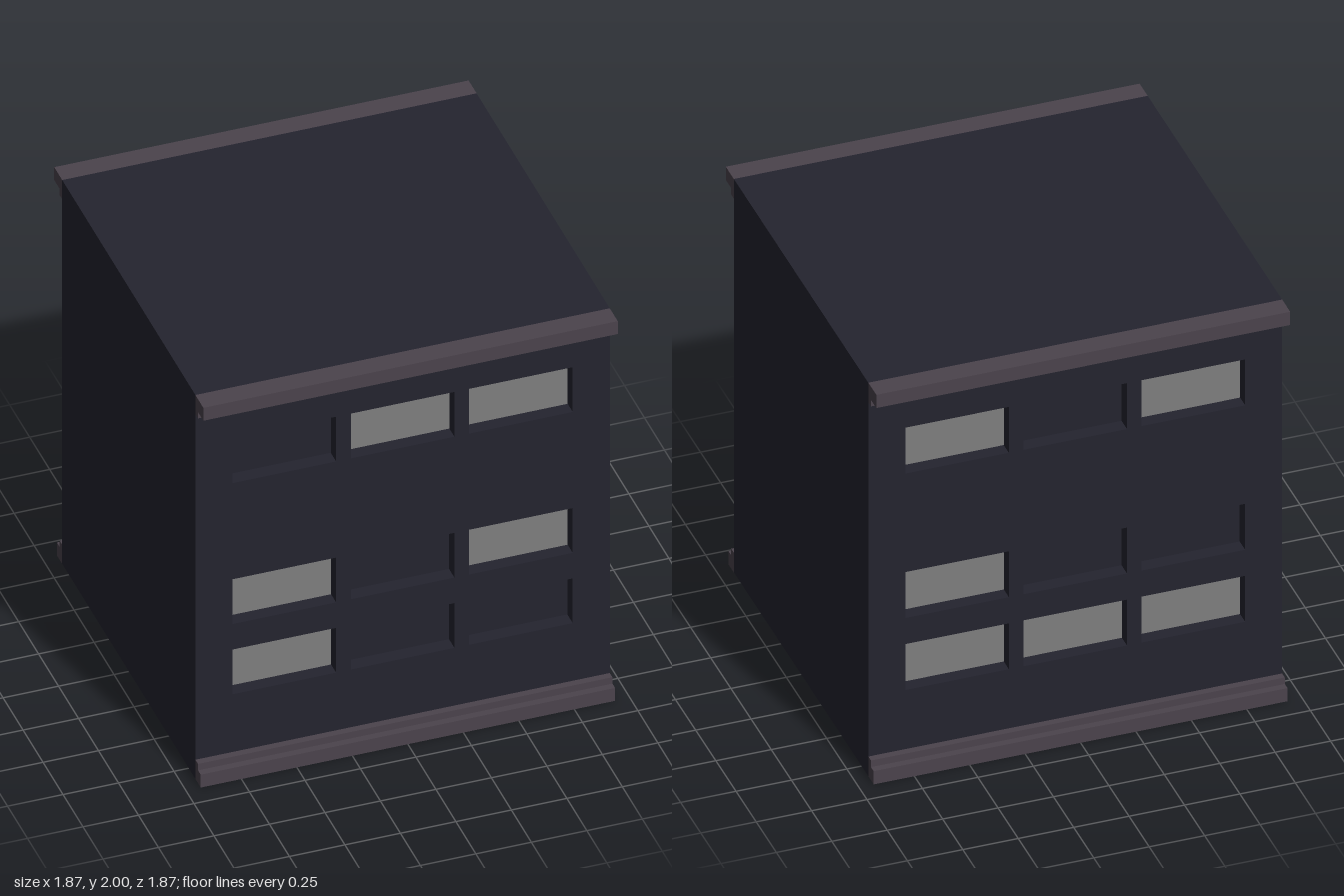
import * as THREE from 'three';

const W = 1.867, H = 2, Z = 0.833, RECESS = 0.067;
const WIN_W = 0.467, WIN_H = 0.233;
const COLUMNS = [-0.533, 0, 0.533];
const ROWS = [1.617, 0.883, 0.517];

export function createModel() {
  const wall = new THREE.MeshStandardMaterial({ name: 'dark wall', color: 0x24242f });
  const trim = new THREE.MeshStandardMaterial({ name: 'mauve trim', color: 0x4b434c });
  const glass = new THREE.MeshStandardMaterial({ name: 'lit window grey', color: 0x7f7f7f });

  const model = new THREE.Group();
  model.name = 'building';

  function add(parent, name, geometry, material, x, y, z) {
    const mesh = new THREE.Mesh(geometry, material);
    mesh.name = name;
    mesh.position.set(x, y, z);
    parent.add(mesh);
    return mesh;
  }

  // Solid core whose faces form the dark window panes
  const core = 2 * (Z - RECESS);
  add(model, 'core', new THREE.BoxGeometry(W, H, core), wall, 0, H / 2, 0);

  // Outer wall slab with window openings
  const outline = new THREE.Shape([
    new THREE.Vector2(-W / 2, 0), new THREE.Vector2(W / 2, 0),
    new THREE.Vector2(W / 2, H), new THREE.Vector2(-W / 2, H),
  ]);
  for (const x of COLUMNS) {
    for (const y of ROWS) {
      const a = WIN_W / 2, b = WIN_H / 2;
      outline.holes.push(new THREE.Path([
        new THREE.Vector2(x - a, y - b), new THREE.Vector2(x - a, y + b),
        new THREE.Vector2(x + a, y + b), new THREE.Vector2(x + a, y - b),
      ]));
    }
  }
  const slab = new THREE.ExtrudeGeometry(outline, { depth: RECESS, bevelEnabled: false });
  const pane = new THREE.BoxGeometry(WIN_W, WIN_H, 0.004);

  // Stepped mouldings: bottom, top, projection from the wall
  const mouldings = [
    ['lowerPlinth', 0, 0.067, 0.067],
    ['upperPlinth', 0.067, 0.1, 0.033],
    ['lowerCornice', 1.9, 1.933, 0.033],
    ['upperCornice', 1.933, 2, 0.1],
  ];

  // Each pattern lists lit windows from left to right as seen facing that side
  function facade(name, pattern) {
    const side = new THREE.Group();
    side.name = name;
    add(side, 'wallFace', slab, wall, 0, 0, Z - RECESS);
    ROWS.forEach((y, r) => COLUMNS.forEach((x, c) => {
      if (pattern[r][c]) add(side, 'litWindow', pane, glass, x, y, Z - RECESS + 0.002);
    }));
    for (const [part, y0, y1, out] of mouldings) {
      add(side, part, new THREE.BoxGeometry(W, y1 - y0, out), trim, 0, (y0 + y1) / 2, Z + out / 2);
    }
    model.add(side);
    return side;
  }

  facade('frontFacade', [[0, 1, 1], [1, 0, 1], [1, 0, 0]]);
  facade('backFacade', [[1, 0, 1], [1, 0, 0], [1, 1, 1]]).rotation.y = Math.PI;

  return model;
}
